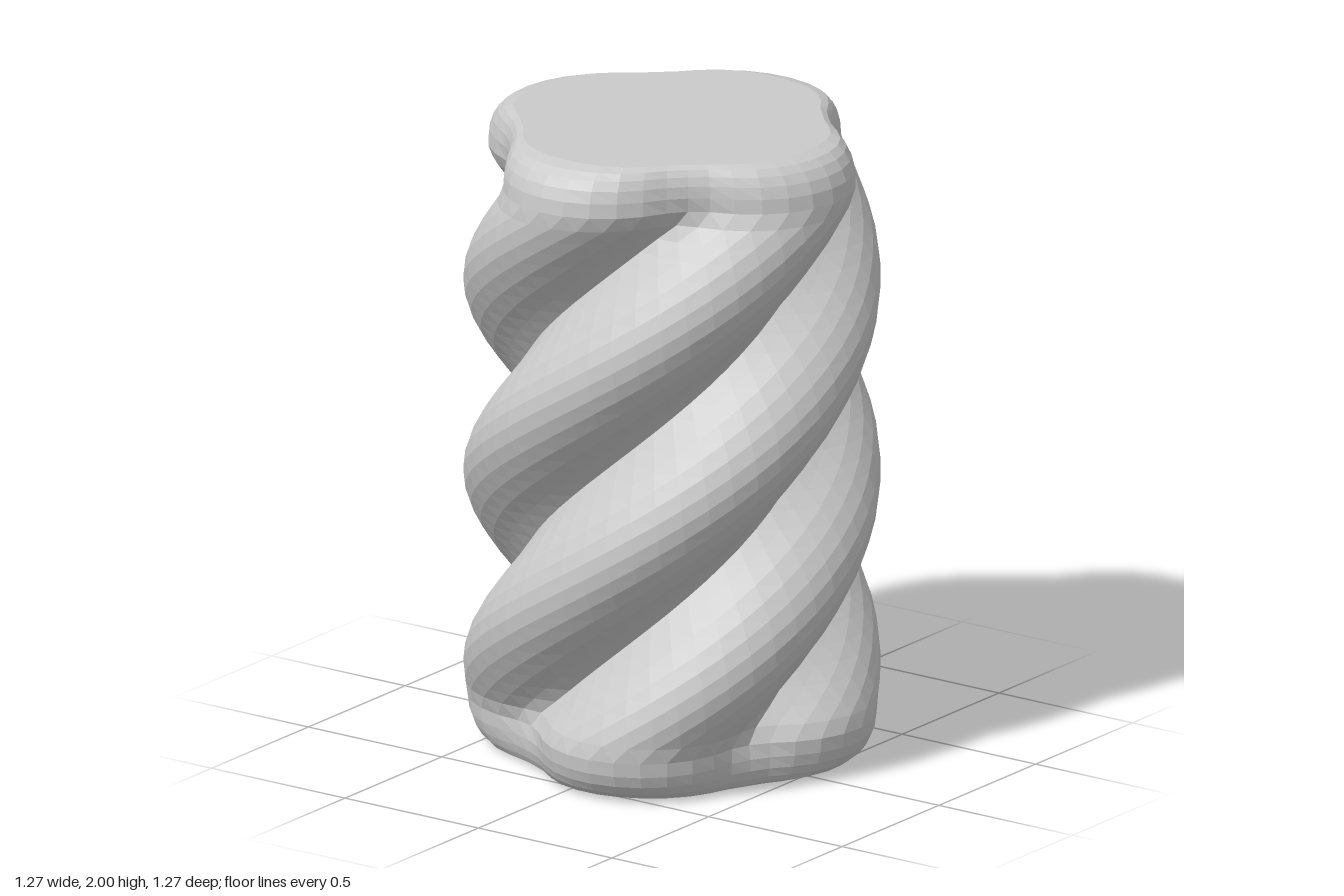
import * as THREE from 'three';

const HEIGHT = 2, LOBES = 4, PER_LOBE = 12, ROWS = 36;
const TWIST = (Math.PI / 2) / 0.612;   // radians per unit of height
const GROOVE_Y = 0.945;                // height where a groove faces the front
const OFFSET = 0.33, LOBE_R = 0.302;   // lobe centre distance and radius
const EDGE = 0.14;                     // height of the rounded rims
const TWIST_END = 0.16;                // the twist stops this far from each end

// Outline radius at an angle from a lobe's crest, the groove softly filled to a floor
function outlineRadius(phi, floor) {
  const s = OFFSET * Math.sin(phi);
  const r = OFFSET * Math.cos(phi) + Math.sqrt(LOBE_R * LOBE_R - s * s);
  return (r + floor + Math.hypot(r - floor, 0.035)) / 2;
}

// Row heights: finer steps round the two rims
function rowHeights() {
  const rim = [0, 0.08, 0.22, 0.42, 0.68].map((t) => t * EDGE);
  const body = [];
  for (let i = 0; i <= ROWS; i++) body.push(EDGE + (HEIGHT - 2 * EDGE) * i / ROWS);
  return [...rim, ...body, ...rim.map((y) => HEIGHT - y).reverse()];
}

function twistedColumn() {
  const cols = LOBES * PER_LOBE, heights = rowHeights();
  const pos = [], index = [];
  for (const y of heights) {
    const fromEnd = Math.min(y, HEIGHT - y);
    const t = Math.max(0, 1 - fromEnd / EDGE);
    const round = 1 - Math.sqrt(1 - t * t);
    // grooves grow shallower towards the ends
    const floor = 0.44 + 0.06 * (1 - THREE.MathUtils.smoothstep(fromEnd, 0.05, 0.3));
    const turn = TWIST * (THREE.MathUtils.clamp(y, TWIST_END, HEIGHT - TWIST_END) - GROOVE_Y);
    for (let j = 0; j < cols; j++) {
      const phi = ((j % PER_LOBE) / PER_LOBE - 0.5) * Math.PI * 2 / LOBES;
      const inset = round * (0.08 + 0.035 * Math.cos(4 * phi));
      const r = outlineRadius(phi, floor) - inset;
      const a = j / cols * Math.PI * 2 + turn;
      pos.push(r * Math.sin(a), y, r * Math.cos(a));
    }
  }
  const bottom = pos.length / 3, top = bottom + 1;
  pos.push(0, 0, 0, 0, HEIGHT, 0);
  const last = (heights.length - 1) * cols;
  for (let j = 0; j < cols; j++) {
    const k = (j + 1) % cols;
    for (let i = 0; i < heights.length - 1; i++) {
      const a = i * cols + j, b = i * cols + k, c = b + cols, d = a + cols;
      index.push(a, b, d, b, c, d);
    }
    // flat end caps
    index.push(bottom, k, j, top, last + j, last + k);
  }
  const geo = new THREE.BufferGeometry();
  geo.setAttribute('position', new THREE.Float32BufferAttribute(pos, 3));
  geo.setIndex(index);
  const flat = geo.toNonIndexed();
  flat.computeVertexNormals();
  return flat;
}

export function createModel() {
  const group = new THREE.Group();
  group.name = 'twistedColumn';
  const grey = new THREE.MeshStandardMaterial({ color: 0xcacaca, flatShading: true });
  grey.name = 'grey';
  const column = new THREE.Mesh(twistedColumn(), grey);
  column.name = 'twistedLobes';
  group.add(column);
  return group;
}
